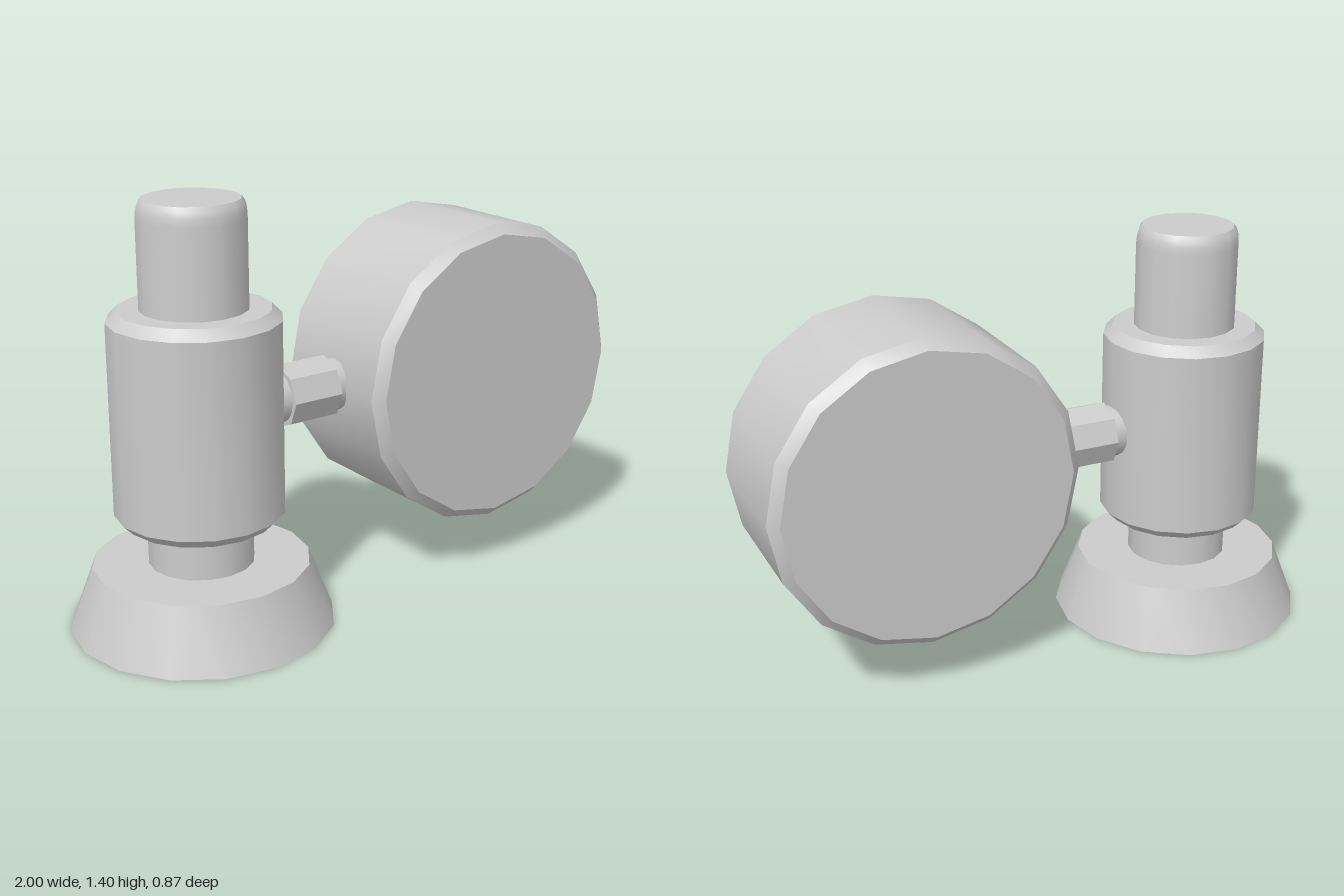
import * as THREE from 'three';
import { toCreasedNormals } from 'three/addons/utils/BufferGeometryUtils.js';

const material = new THREE.MeshStandardMaterial({ color: 0xcccccc });
const POST_X = -0.565, ARM_Y = 0.705, DIAL_X = 0.476;

// Solid of revolution around y from [radius, y] pairs, bottom to top;
// bevels stay sharp while the round sides are smooth.
function turned(name, profile, sides = 16) {
  const points = profile.map(([r, y]) => new THREE.Vector2(r, y));
  const lathe = new THREE.LatheGeometry(points, sides);
  const mesh = new THREE.Mesh(toCreasedNormals(lathe, THREE.MathUtils.degToRad(30)), material);
  mesh.name = name;
  return mesh;
}

// Closed cylinder profile with bevelled rims
function bevelled(radius, y0, y1, bevel) {
  return [
    [0, y0], [radius - bevel, y0], [radius, y0 + bevel],
    [radius, y1 - bevel], [radius - bevel, y1], [0, y1],
  ];
}

function plain(radius, y0, y1) {
  return [[0, y0], [radius, y0], [radius, y1], [0, y1]];
}

export function createModel() {
  const model = new THREE.Group();
  model.name = 'postWithDial';

  // Upright post: flared foot, shaft with rounded top, thick sleeve
  const post = new THREE.Group();
  post.name = 'post';
  post.position.x = POST_X;
  post.add(
    turned('foot', [[0, 0], [0.435, 0], [0.355, 0.21], [0, 0.21]]),
    turned('shaft', [
      [0, 0.2], [0.173, 0.2], [0.173, 1.34], [0.171, 1.365],
      [0.165, 1.386], [0.155, 1.4], [0, 1.4],
    ]),
    turned('sleeve', bevelled(0.278, 0.355, 1.055, 0.033)),
  );
  model.add(post);

  // Side arm with an eight-sided collar
  const arm = new THREE.Group();
  arm.name = 'arm';
  arm.position.y = ARM_Y;
  arm.rotation.z = -Math.PI / 2;
  arm.add(
    turned('rod', plain(0.088, -0.4, 0.05)),
    turned('collar', plain(0.108, -0.26, -0.075), 8),
  );
  model.add(arm);

  // Large round dial facing front and back
  const dial = turned('dial', bevelled(0.524, -0.262, 0.262, 0.034));
  dial.position.set(DIAL_X, ARM_Y, 0);
  dial.rotation.x = Math.PI / 2;
  model.add(dial);

  return model;
}
